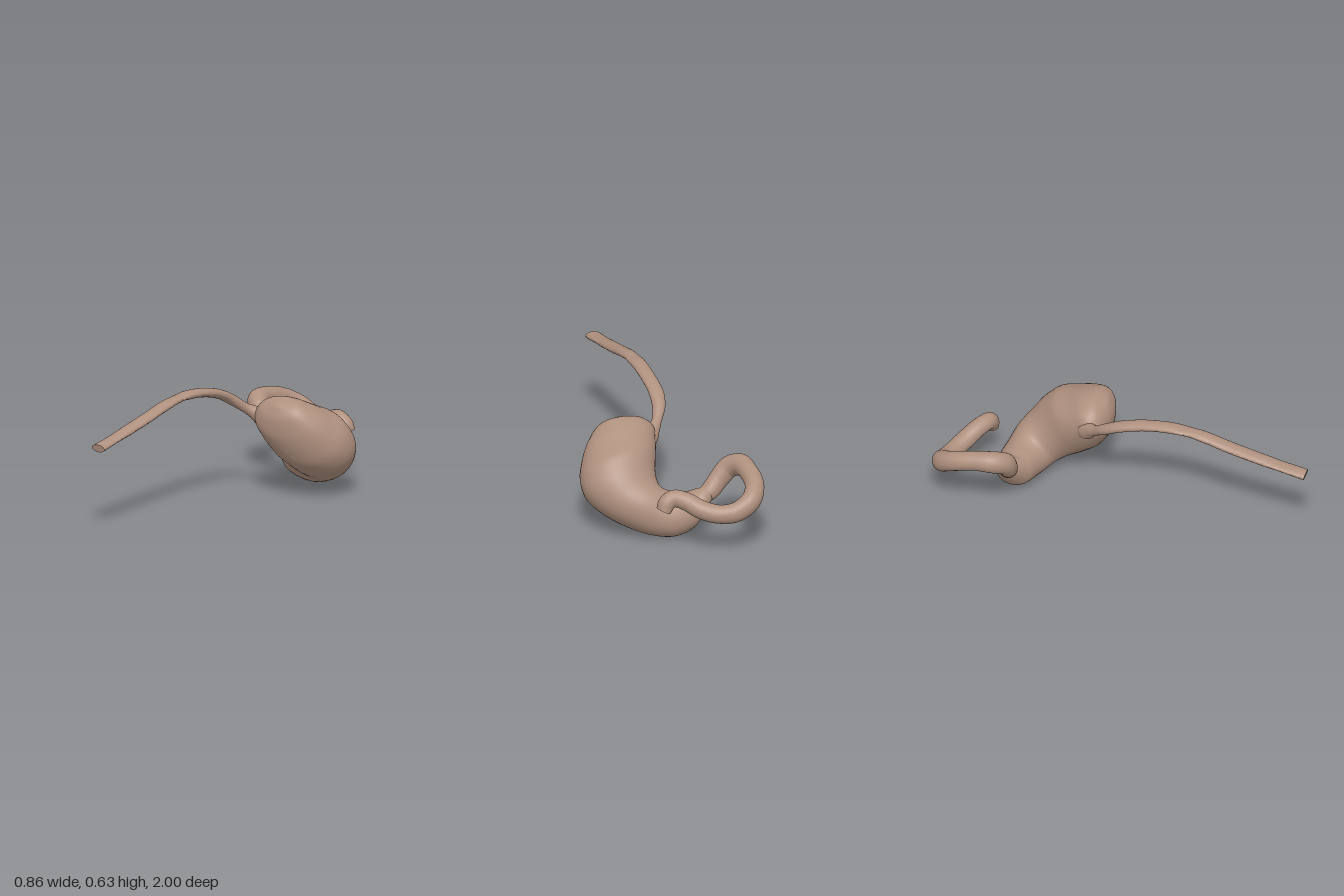
import * as THREE from 'three';
import { toCreasedNormals } from 'three/addons/utils/BufferGeometryUtils.js';

const V = (x, y, z) => new THREE.Vector3(x, y, z);
const spline = pts => new THREE.CatmullRomCurve3(pts);
const SIDES = 36;

// Skin a list of elliptical rings {c, a, b}: centre and two half-axis vectors
function skin(rings, capStart, capEnd) {
  const zero = V(0, 0, 0);
  const all = [...rings];
  if (capStart) all.unshift({ c: rings[0].c, a: zero, b: zero });
  if (capEnd) all.push({ c: rings[rings.length - 1].c, a: zero, b: zero });
  const pos = [], index = [];
  all.forEach(({ c, a, b }, i) => {
    for (let j = 0; j < SIDES; j++) {
      const t = (j / SIDES) * Math.PI * 2;
      const p = c.clone().addScaledVector(a, Math.cos(t)).addScaledVector(b, Math.sin(t));
      pos.push(p.x, p.y, p.z);
      if (i === all.length - 1) continue;
      const k = (j + 1) % SIDES, n = i * SIDES;
      index.push(n + j, n + k, n + SIDES + j, n + k, n + SIDES + k, n + SIDES + j);
    }
  });
  const g = new THREE.BufferGeometry();
  g.setAttribute('position', new THREE.Float32BufferAttribute(pos, 3));
  g.setIndex(index);
  return toCreasedNormals(g, 1.0);
}

// Tube along stations [x, y, z, half width, half height]
function sweep(stations, steps, capStart, capEnd) {
  const path = spline(stations.map(s => V(s[0], s[1], s[2])));
  const size = spline(stations.map(s => V(s[3], s[4], 0)));
  const rings = [];
  for (let i = 0; i <= steps; i++) {
    const t = i / steps, T = path.getTangent(t), r = size.getPoint(t);
    const side = V(0, 1, 0).cross(T).normalize();
    const up = T.clone().cross(side);
    rings.push({ c: path.getPoint(t), a: side.multiplyScalar(r.x), b: up.multiplyScalar(r.y) });
  }
  return skin(rings, capStart, capEnd);
}

// The stomach lies in a plane tilted 45 degrees: s runs down and back, w up and back
const H = Math.SQRT1_2;
const tilted = (x, s, w) => V(x, (w - s) * H, -(w + s) * H);

// Sections [inner x, inner s, outer x, outer s, w, half thickness]
function stomachGeometry() {
  const sections = [
    [0.12, -0.253, 0.16, -0.255, 0.485, 0.012],
    [0.01, -0.222, 0.26, -0.225, 0.485, 0.075],
    [-0.035, -0.17, 0.34, -0.14, 0.475, 0.125],
    [-0.025, -0.09, 0.39, -0.05, 0.472, 0.157],
    [0.0, 0.0, 0.425, 0.05, 0.48, 0.182],
    [0.025, 0.09, 0.42, 0.15, 0.485, 0.175],
    [0.03, 0.15, 0.36, 0.25, 0.495, 0.155],
    [0.02, 0.19, 0.25, 0.35, 0.507, 0.14],
    [-0.02, 0.21, 0.12, 0.425, 0.51, 0.122],
    [-0.06, 0.22, 0.0, 0.455, 0.52, 0.11],
    [-0.1, 0.23, -0.1, 0.43, 0.53, 0.095],
    [-0.14, 0.235, -0.17, 0.37, 0.565, 0.072],
    [-0.17, 0.24, -0.215, 0.31, 0.59, 0.045],
  ];
  const inner = spline(sections.map(s => tilted(s[0], s[1], s[4])));
  const outer = spline(sections.map(s => tilted(s[2], s[3], s[4])));
  const thick = spline(sections.map(s => V(s[5], 0, 0)));
  const rings = [];
  for (let i = 0; i <= 72; i++) {
    const t = i / 72, p = inner.getPoint(t), q = outer.getPoint(t);
    rings.push({
      c: p.clone().add(q).multiplyScalar(0.5),
      a: q.clone().sub(p).multiplyScalar(0.5),
      b: V(0, -H, H).multiplyScalar(thick.getPoint(t).x),
    });
  }
  return skin(rings, true, true);
}

export function createModel() {
  const group = new THREE.Group();
  const material = new THREE.MeshStandardMaterial({ color: 0xb0917f, side: THREE.DoubleSide });
  const add = (name, geometry) => {
    const mesh = new THREE.Mesh(geometry, material);
    mesh.name = name;
    group.add(mesh);
  };

  add('stomach', stomachGeometry());

  // Flattened feeding tube, narrowing and then flaring into the stomach
  add('oesophagus', sweep([
    [-0.125, 0.475, 1.0, 0.042, 0.021],
    [-0.125, 0.515, 0.8, 0.042, 0.021],
    [-0.124, 0.56, 0.6, 0.042, 0.022],
    [-0.12, 0.605, 0.42, 0.041, 0.022],
    [-0.12, 0.62, 0.28, 0.041, 0.022],
    [-0.12, 0.606, 0.12, 0.04, 0.024],
    [-0.12, 0.568, -0.02, 0.04, 0.026],
    [-0.106, 0.525, -0.1, 0.035, 0.028],
    [-0.072, 0.477, -0.165, 0.027, 0.026],
    [-0.045, 0.452, -0.2, 0.032, 0.034],
    [-0.01, 0.425, -0.23, 0.048, 0.052],
    [0.03, 0.4, -0.26, 0.055, 0.06],
  ], 96, true, true));

  // Looping bowel section with an open far end
  add('duodenum', sweep([
    [-0.18, 0.215, -0.61, 0.043, 0.043],
    [-0.215, 0.235, -0.605, 0.05, 0.05],
    [-0.27, 0.29, -0.59, 0.05, 0.056],
    [-0.325, 0.35, -0.595, 0.054, 0.058],
    [-0.368, 0.378, -0.645, 0.057, 0.058],
    [-0.38, 0.376, -0.74, 0.051, 0.052],
    [-0.373, 0.345, -0.86, 0.051, 0.053],
    [-0.325, 0.295, -0.935, 0.052, 0.056],
    [-0.24, 0.248, -0.948, 0.048, 0.054],
    [-0.15, 0.24, -0.925, 0.048, 0.05],
    [-0.07, 0.26, -0.885, 0.05, 0.05],
    [0.0, 0.298, -0.835, 0.048, 0.048],
    [0.055, 0.308, -0.8, 0.045, 0.046],
    [0.092, 0.285, -0.795, 0.046, 0.046],
    [0.112, 0.245, -0.798, 0.044, 0.038],
  ], 110, true, false));

  return group;
}
